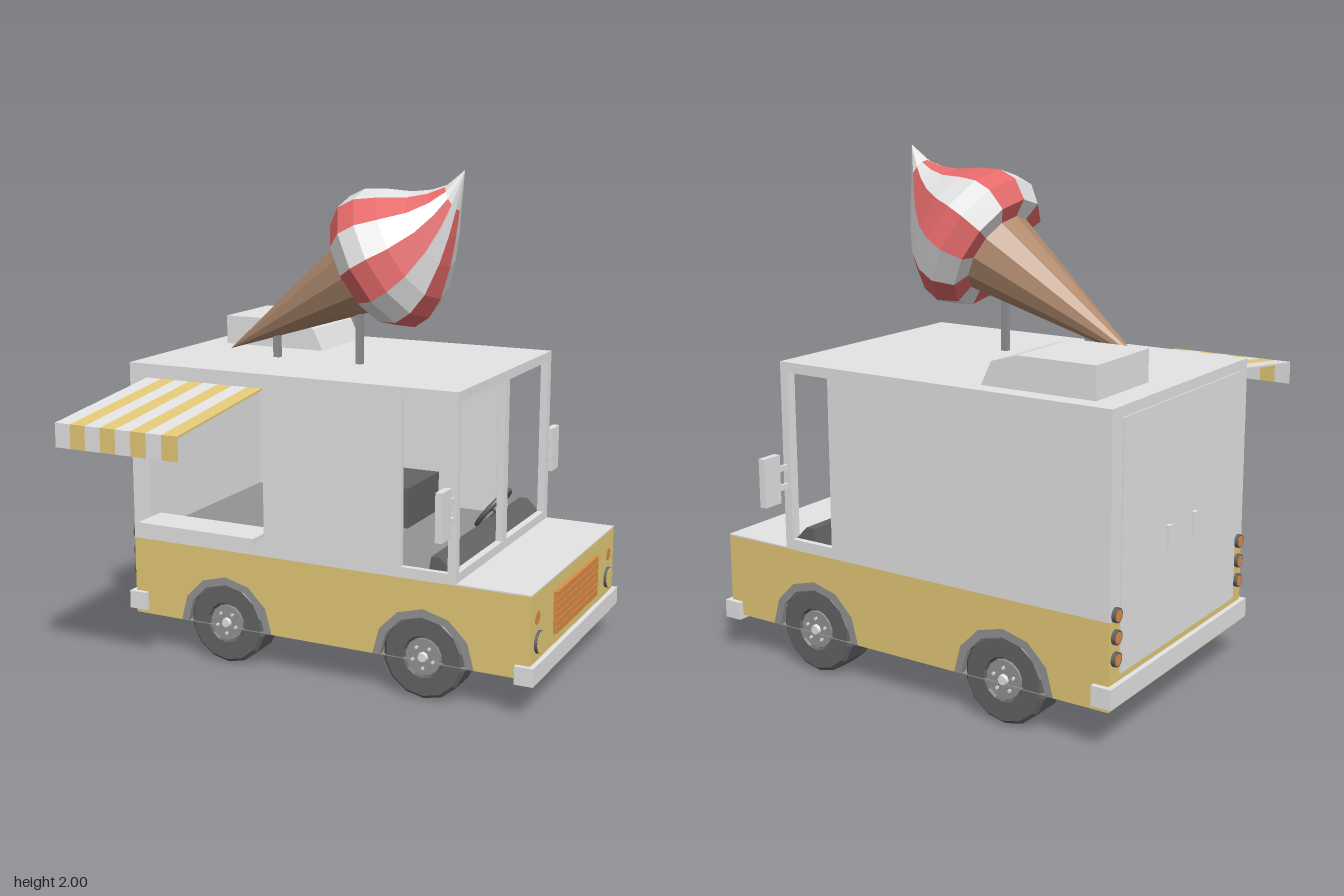
import * as THREE from 'three';

const mat = (name, color) => {
  const m = new THREE.MeshStandardMaterial({ color });
  m.name = name;
  return m;
};

export function createModel() {
  const white = mat('body white', 0xe5e5e5);
  const yellow = mat('custard yellow', 0xe5ca78);
  const red = mat('strawberry red', 0xe66a6a);
  const orange = mat('lamp orange', 0xde8d46);
  const brown = mat('cone brown', 0xb08a6e);
  const dark = mat('rubber dark grey', 0x646464);
  const grey = mat('metal grey', 0x949494);

  const root = new THREE.Group();
  root.name = 'iceCreamTruck';
  const ZC = -0.24, ZL = 0.275, ZR = -0.755; // body centre line and both sides

  const add = (name, geo, material, parent = root) => {
    const m = new THREE.Mesh(geo, material);
    m.name = name;
    parent.add(m);
    return m;
  };
  // box from min and max along each axis
  const box = (name, material, x0, x1, y0, y1, z0, z1) => {
    const m = add(name, new THREE.BoxGeometry(x1 - x0, y1 - y0, z1 - z0), material);
    m.position.set((x0 + x1) / 2, (y0 + y1) / 2, (z0 + z1) / 2);
    return m;
  };
  const flat = (g) => {
    const f = g.toNonIndexed();
    f.computeVertexNormals();
    return f;
  };
  const vecs = (list) => list.map((p) => new THREE.Vector2(...p));
  const rectPts = (x0, x1, y0, y1) => vecs([[x0, y0], [x1, y0], [x1, y1], [x0, y1]]);
  const plate = (pts, holes, depth) => {
    const s = new THREE.Shape(pts);
    holes.forEach((h) => s.holes.push(new THREE.Path(rectPts(...h))));
    return new THREE.ExtrudeGeometry(s, { depth, bevelEnabled: false });
  };
  const arc = (cx, r, n = 6) => Array.from({ length: n + 1 }, (_, i) => {
    const a = Math.PI * (1 - i / n);
    return new THREE.Vector2(cx + r * Math.cos(a), 0.155 + r * Math.sin(a));
  });
  // disc facing along x
  const disc = (name, material, r, depth, x, y, z) => {
    const m = add(name, new THREE.CylinderGeometry(r, r, depth, 16), material);
    m.rotation.z = Math.PI / 2;
    m.position.set(x, y, z);
  };

  // Lower body: notched sides with a solid middle
  const axleX = [-0.44, 0.435];
  const sidePts = [new THREE.Vector2(-0.875, 0.155), ...arc(axleX[0], 0.21), ...arc(axleX[1], 0.21),
    ...vecs([[0.87, 0.155], [0.87, 0.48], [-0.875, 0.48]])];
  for (const z of [ZL - 0.16, ZR]) {
    add('lowerSide', plate(sidePts, [], 0.16), yellow).position.z = z;
  }
  box('lowerMiddle', yellow, -0.875, 0.87, 0.155, 0.48, ZR + 0.16, ZL - 0.16);
  box('underside', grey, -0.872, 0.867, 0.153, 0.157, ZR + 0.003, ZL - 0.003);
  box('hoodTop', white, 0.54, 0.87, 0.48, 0.486, ZR, ZL);

  // Wheels, arches and axles
  const tyrePts = vecs([[0.03, -0.074], [0.162, -0.074], [0.172, -0.06], [0.172, 0.06], [0.158, 0.074],
    [0.085, 0.074], [0.078, 0.06], [0, 0.06]]);
  const tyreGeo = flat(new THREE.LatheGeometry(tyrePts, 14));
  for (const x of axleX) {
    for (const s of [1, -1]) {
      const wheel = new THREE.Group();
      wheel.name = 'wheel';
      add('tyre', tyreGeo, dark, wheel);
      add('rim', new THREE.CylinderGeometry(0.074, 0.074, 0.01, 14), grey, wheel).position.y = 0.065;
      add('hub', new THREE.CylinderGeometry(0.018, 0.024, 0.02, 8), white, wheel).position.y = 0.073;
      for (let i = 0; i < 5; i++) {
        const a = i * Math.PI * 0.4;
        add('bolt', new THREE.CylinderGeometry(0.007, 0.007, 0.01, 6), white, wheel)
          .position.set(Math.sin(a) * 0.045, 0.072, Math.cos(a) * 0.045);
      }
      wheel.rotation.x = s * Math.PI / 2;
      wheel.position.set(x, 0.172, ZC + s * 0.437);
      root.add(wheel);

      const ring = [...arc(x, 0.212), ...arc(x, 0.18).reverse()];
      add('wheelArch', plate(ring, [], 0.03), grey).position.z = s > 0 ? ZL - 0.029 : ZR - 0.001;
      const well = plate(arc(x, 0.21), [], 0.004);
      add('wheelWell', well, dark).position.z = s > 0 ? ZL - 0.159 : ZR + 0.155;
    }
    const axle = add('axle', new THREE.CylinderGeometry(0.02, 0.02, 0.8, 8), dark);
    axle.rotation.x = Math.PI / 2;
    axle.position.set(x, 0.154, ZC);
  }

  // Upper body: side walls, windscreen frame, rear, roof
  const wallPts = rectPts(-0.875, 0.57, 0.48, 1.22);
  const door = [0.34, 0.535, 0.522, 1.18], hatch = [-0.795, -0.258, 0.575, 1.16];
  add('hatchSideWall', plate(wallPts, [door, hatch], 0.025), white).position.z = ZL - 0.025;
  add('plainSideWall', plate(wallPts, [door], 0.025), white).position.z = ZR;
  const frame = plate(rectPts(ZR + 0.01, ZL - 0.01, 0.48, 1.22),
    [[-0.71, -0.258, 0.522, 1.18], [-0.212, 0.245, 0.522, 1.18]], 0.03);
  add('windscreenFrame', frame.rotateY(-Math.PI / 2), white).position.x = 0.57;
  box('rearWall', white, -0.875, -0.85, 0.48, 1.22, ZR + 0.01, ZL - 0.01);
  box('rearInnerPanel', white, -0.85, -0.842, 0.89, 1.02, -0.41, -0.06);
  box('roof', white, -0.875, 0.57, 1.192, 1.22, ZR, ZL);
  box('floor', grey, -0.86, 0.54, 0.48, 0.486, ZR + 0.02, ZL - 0.02);

  // Tall rear door, handles and stacked lamps
  box('rearDoor', white, -0.88, -0.874, 0.275, 1.18, ZR + 0.07, ZL - 0.07);
  for (const z of [-0.16, -0.36]) {
    box('handleGrip', white, -0.894, -0.886, 0.635, 0.725, z - 0.015, z + 0.015);
    for (const y of [0.642, 0.718]) box('handleFoot', white, -0.888, -0.878, y - 0.007, y + 0.007, z - 0.012, z + 0.012);
  }
  for (const z of [ZL - 0.037, ZR + 0.037]) {
    for (const y of [0.34, 0.42, 0.5]) {
      disc('rearLampHousing', dark, 0.027, 0.018, -0.881, y, z);
      disc('rearLampLens', orange, 0.021, 0.002, -0.8905, y, z);
    }
  }

  // Bumpers
  box('frontBumper', white, 0.815, 0.89, 0.138, 0.21, -0.775, 0.295);
  box('rearBumper', white, -0.895, -0.815, 0.175, 0.25, -0.775, 0.295);

  // Grille with narrow grooves
  box('grilleBack', orange, 0.865, 0.878, 0.253, 0.425, -0.498, 0.018);
  for (let i = 0; i < 6; i++) {
    const y = 0.253 + i * 0.0287;
    box('grilleSlat', orange, 0.87, 0.885, y + 0.003, y + 0.0287, -0.5, 0.02);
  }

  for (const s of [1, -1]) {
    disc('indicator', orange, 0.026, 0.004, 0.87, 0.38, ZC + s * 0.445);
    disc('headlampHousing', dark, 0.044, 0.016, 0.874, 0.282, ZC + s * 0.433);
    disc('headlampLens', yellow, 0.042, 0.002, 0.8825, 0.282, ZC + s * 0.433);
    // Side mirrors on two stalks
    const z = ZC + s * 0.61;
    box('mirror', white, 0.54, 0.568, 0.68, 0.87, z - 0.043, z + 0.043);
    for (const y of [0.735, 0.81]) {
      const zs = ZC + s * 0.545;
      box('mirrorStalk', white, 0.548, 0.56, y - 0.011, y + 0.011, zs - 0.033, zs + 0.033);
    }
  }

  // Cab interior: dashboard, seats, steering wheel
  const dashPts = vecs([[0.44, 0.484], [0.54, 0.484], [0.54, 0.52], [0.49, 0.57], [0.455, 0.57]]);
  add('dashboard', plate(dashPts, [], 0.97), dark).position.z = ZR + 0.03;
  for (const z of [0.02, -0.49]) box('seat', dark, -0.17, 0.1, 0.486, 0.66, z - 0.165, z + 0.165);
  const steering = new THREE.Group();
  steering.name = 'steeringWheel';
  add('steeringRim', new THREE.TorusGeometry(0.1, 0.011, 8, 20).rotateY(Math.PI / 2), dark, steering);
  const column = add('steeringColumn', new THREE.CylinderGeometry(0.012, 0.012, 0.1, 8), dark, steering);
  column.rotation.z = Math.PI / 2;
  column.position.x = 0.045;
  add('steeringSpoke', new THREE.BoxGeometry(0.01, 0.02, 0.2), dark, steering);
  steering.rotation.z = -0.67;
  steering.position.set(0.42, 0.575, -0.495);
  root.add(steering);

  // Striped awning with hanging edge, and the serving shelf
  const w = 0.535 / 8;
  for (let i = 0; i < 8; i++) {
    const x = -0.793 + (i + 0.5) * w, m = i % 2 ? yellow : white;
    const top = add('awningStripe', new THREE.BoxGeometry(w, 0.007, 0.614), m);
    top.position.set(x, 1.125, 0.578);
    top.rotation.x = 0.114;
    box('awningValance', m, x - w / 2, x + w / 2, 1.0, 1.092, 0.88, 0.884);
  }
  box('servingShelf', white, -0.795, -0.256, 0.553, 0.577, 0.2, 0.365);

  // Roof vent with sloped end
  const ventPts = vecs([[-0.77, 1.215], [-0.3, 1.215], [-0.345, 1.31], [-0.455, 1.342], [-0.77, 1.342]]);
  add('roofVent', plate(ventPts, [], 0.362), white).position.z = -0.682;

  // Giant ice cream lying back on two posts
  const Z = -0.105;
  box('rearPost', grey, -0.412, -0.386, 1.21, 1.36, Z - 0.013, Z + 0.013);
  box('frontPost', grey, -0.032, -0.006, 1.21, 1.54, Z - 0.013, Z + 0.013);
  const cone = new THREE.Group();
  cone.name = 'iceCream';
  const conePts = vecs([[0, 0], [0.17, 0.735]]);
  add('waferCone', flat(new THREE.LatheGeometry(conePts, 12)), brown, cone);
  const swirlPts = vecs([[0, 0.725], [0.243, 0.732], [0.29, 0.806], [0.284, 0.88], [0.242, 0.96],
    [0.165, 1.055], [0.105, 1.13], [0.055, 1.195], [0, 1.288]]);
  const swirl = new THREE.LatheGeometry(swirlPts, 12);
  const pos = swirl.attributes.position;
  for (let i = 0; i < pos.count; i++) { // curl the tip upward
    const t = Math.max(0, pos.getY(i) - 0.95) / 0.338;
    pos.setX(i, pos.getX(i) - 0.146 * t * t);
  }
  const per = (swirlPts.length - 1) * 6;
  for (let i = 0; i < 12; i++) { // alternating stripes with a white tip
    swirl.addGroup(i * per, per - 6, i % 2);
    swirl.addGroup((i + 1) * per - 6, 6, 1);
  }
  add('swirl', flat(swirl), [red, white], cone);
  cone.rotation.z = -1.055;
  cone.position.set(-0.622, 1.24, Z);
  root.add(cone);

  return root;
}
